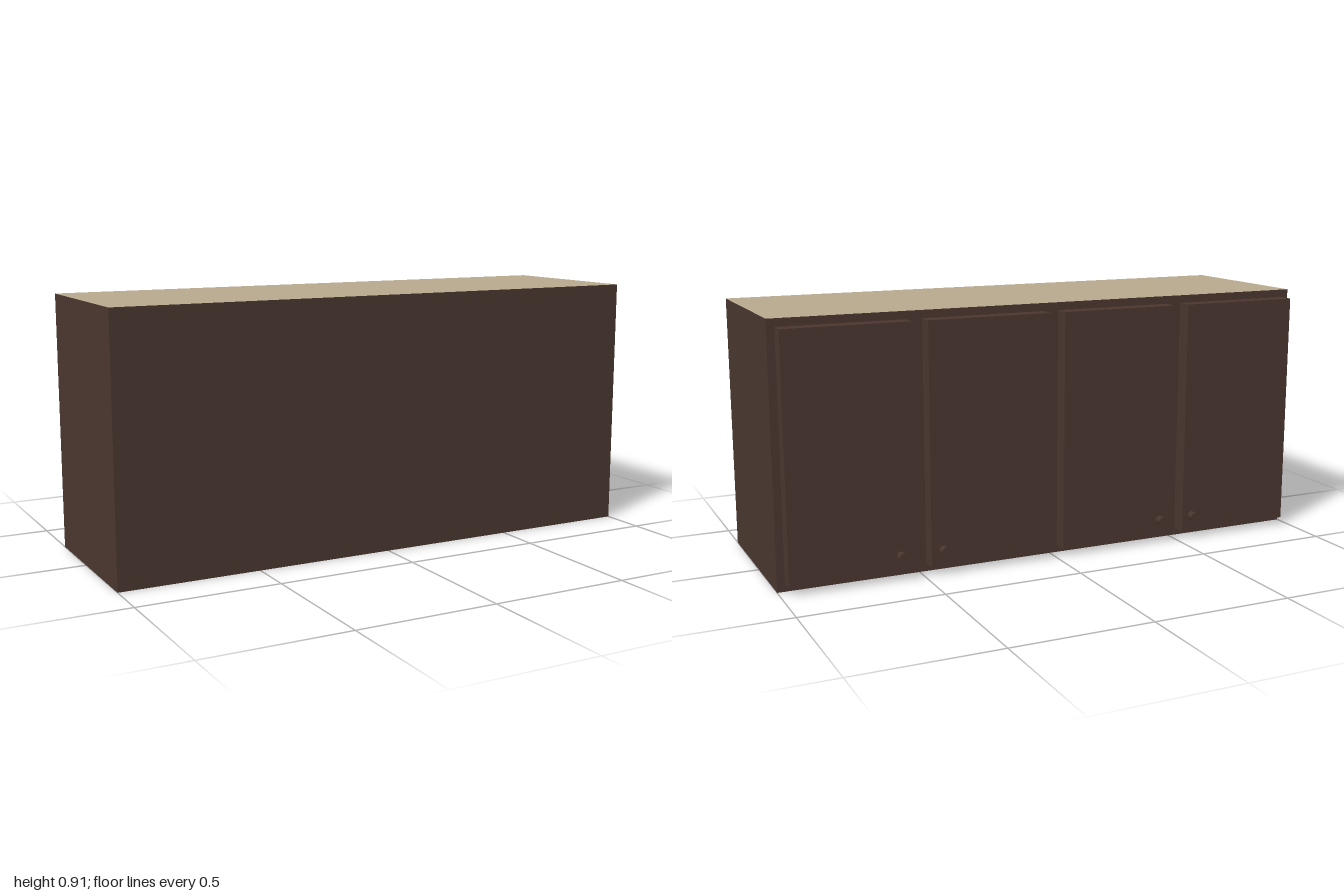
import * as THREE from 'three';

export function createModel() {
  const wood = new THREE.MeshStandardMaterial({ color: 0x4a372f });
  wood.name = 'dark wood';
  const top = new THREE.MeshStandardMaterial({ color: 0xb8a88f });
  top.name = 'beige top';

  const model = new THREE.Group();
  model.name = 'wallCabinet';

  function add(name, geometry, material, x, y, z) {
    const mesh = new THREE.Mesh(geometry, material);
    mesh.name = name;
    mesh.position.set(x, y, z);
    model.add(mesh);
  }

  // Cabinet body, with the beige surface on its upper face
  const height = 0.91, back = -0.256, front = 0.338;
  add('body', new THREE.BoxGeometry(2, height, front - back),
    [wood, wood, top, wood, wood, wood], 0, height / 2, (front + back) / 2);

  // Knob: flared foot, narrow neck and a disc grip, turned to point along -z
  const profile = [[0, 0], [0.016, 0], [0.016, 0.004], [0.005, 0.013], [0.005, 0.015],
    [0.016, 0.015], [0.016, 0.026], [0, 0.026]].map(([r, h]) => new THREE.Vector2(r, h));
  const knob = new THREE.LatheGeometry(profile, 16).toNonIndexed();
  knob.computeVertexNormals();
  knob.rotateX(-Math.PI / 2);

  // Four doors: left edge, right edge and knob position
  const doorDepth = 0.056, bottom = 0.028, doorHeight = 0.854;
  const doors = [
    [-0.973, -0.525, -0.564],
    [-0.468, -0.028, -0.425],
    [0.027, 0.476, 0.432],
    [0.532, 0.973, 0.585],
  ];
  doors.forEach(([x0, x1, knobX], i) => {
    add(`door${i + 1}`, new THREE.BoxGeometry(x1 - x0, doorHeight, doorDepth), wood,
      (x0 + x1) / 2, bottom + doorHeight / 2, back - doorDepth / 2);
    add(`knob${i + 1}`, knob, wood, knobX, 0.087, back - doorDepth);
  });

  return model;
}
